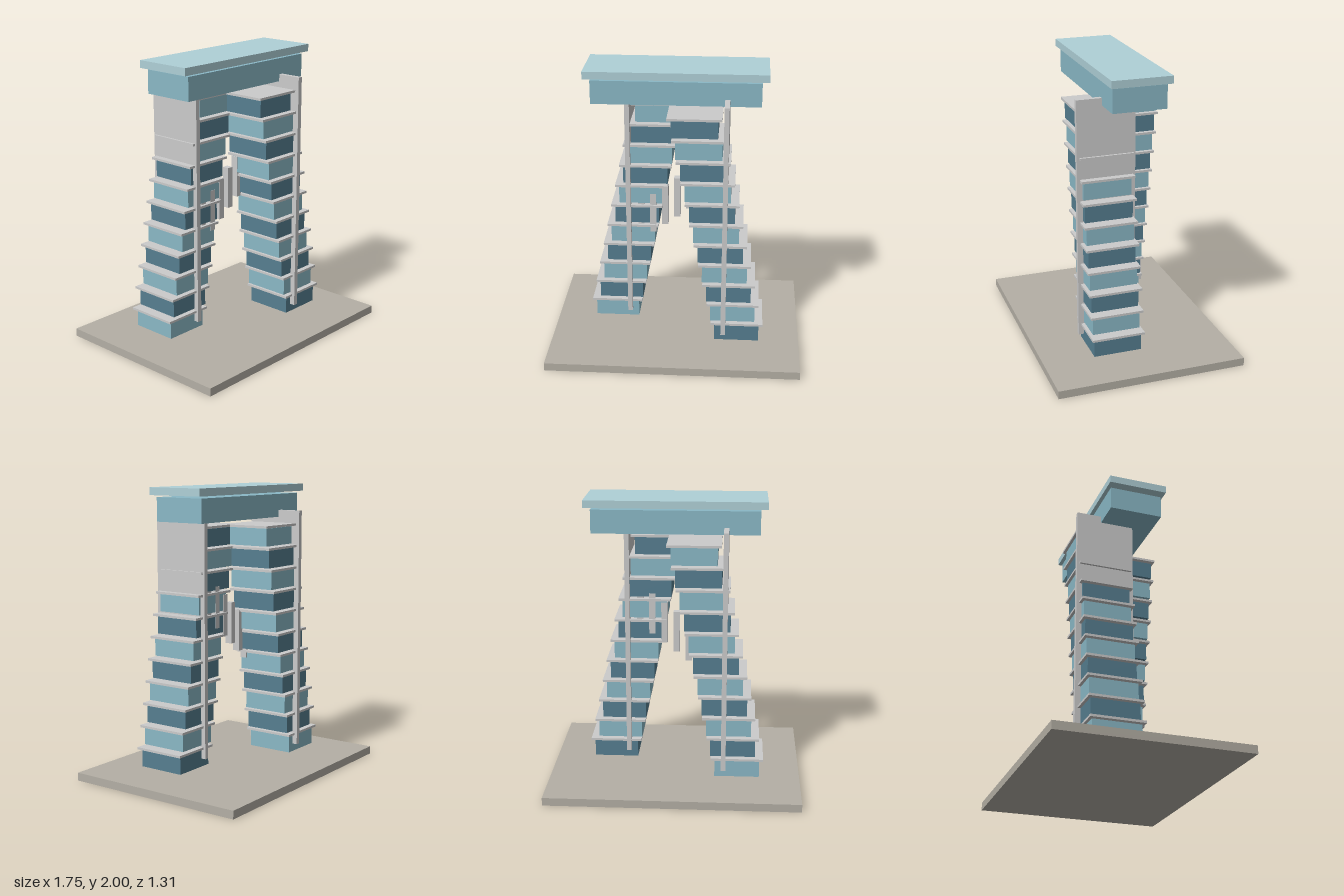
import * as THREE from 'three';

const mat = (color) => new THREE.MeshStandardMaterial({ color });
const grey = mat(0xcccccc);
const stone = mat(0xb4afa5);
const lightBlue = mat(0x8ab8c6);
const darkBlue = mat(0x567e90);
const paleBlue = mat(0xafd0d7);

function box(parent, name, material, size, position) {
  const mesh = new THREE.Mesh(new THREE.BoxGeometry(...size), material);
  mesh.name = name;
  mesh.position.set(...position);
  parent.add(mesh);
  return mesh;
}

// Leaning stack of storeys; side +1 is the front tower, -1 the back tower
function tower(side) {
  const group = new THREE.Group();
  group.name = side > 0 ? 'frontTower' : 'backTower';
  const z = side * 0.152;
  for (let i = 0; i < 11; i++) {
    const x = side * (0.435 - 0.0304 * i);
    const y = 0.152 + 0.1505 * i;
    const dark = (i % 2 === 0) === (side > 0);
    box(group, 'storey', dark ? darkBlue : lightBlue, [0.31, 0.12, 0.333], [x, y, z]);
    box(group, 'floorSlab', grey, [0.363, 0.016, 0.37], [x, y + 0.071, z]);
  }
  // Upright wall cutting through the stack
  box(group, 'finWall', grey, [0.033, 1.674, 0.404], [side * 0.341, 0.986, side * 0.154]);
  return group;
}

export function createModel() {
  const model = new THREE.Group();
  model.name = 'leaningTowers';

  // Ground plate
  box(model, 'basePlate', stone, [1.75, 0.056, 1.312], [0, 0.028, 0]);

  model.add(tower(1), tower(-1));

  // Rising row of bars linking the two towers
  const link = new THREE.Group();
  link.name = 'linkBars';
  for (let k = -3; k <= 3; k++) {
    box(link, 'linkBar', grey, [0.044, 0.29, 0.05], [0.085 * k, 1.048 + 0.064 * k, 0.004 * k]);
  }
  model.add(link);

  // Top block with a separate roof
  box(model, 'topBlock', lightBlue, [1.13, 0.16, 0.368], [0, 1.855, 0]);
  box(model, 'roof', paleBlue, [1.224, 0.051, 0.41], [0, 1.9745, 0]);

  return model;
}
